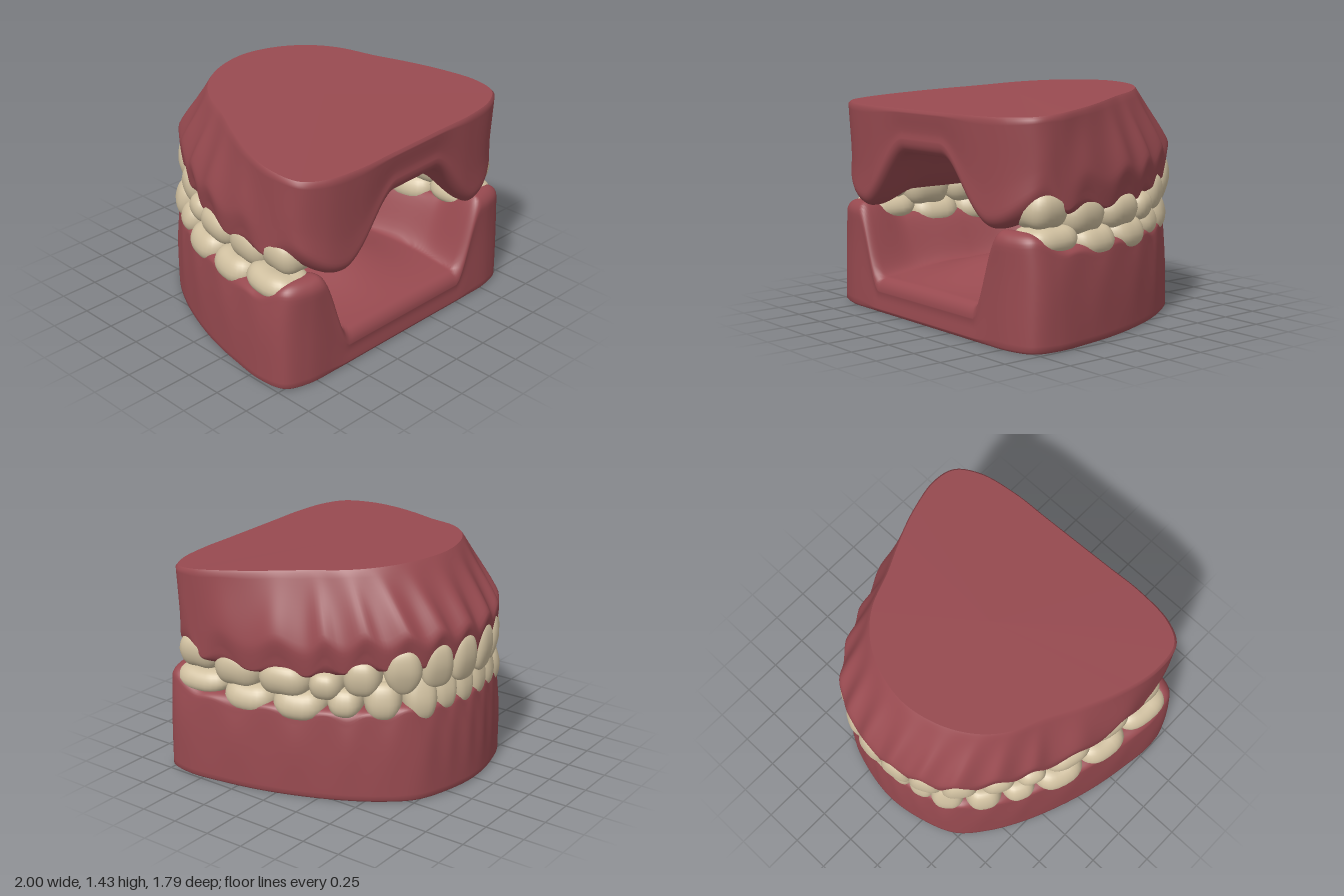
import * as THREE from 'three';

const gumMat = new THREE.MeshStandardMaterial({ color: 0x984a50 });
gumMat.name = 'gum rose';
const toothMat = new THREE.MeshStandardMaterial({ color: 0xd0c0a0 });
toothMat.name = 'tooth ivory';

const { smoothstep, lerp, clamp } = THREE.MathUtils;
const N = 312, CZ = 0.1;

// Closed outline from one half, listed from the incisors (-z) round to the rear (+z)
function outline(half) {
  const other = half.slice(1, -1).reverse().map(([x, z]) => [-x, z]);
  const pts = [...half, ...other].map(([x, z]) => new THREE.Vector3(x, 0, z));
  return new THREE.CatmullRomCurve3(pts, true).getPoints(N).slice(0, N);
}

// U-shaped measure: below 1 inside the arch, above 1 on the tooth ridge
function arch(x, z, hw, len, z0) {
  return Math.hypot(x / hw, Math.min(0, z - z0) / len);
}

// Gum body: flat base, outer wall with root ripples, then a height field for ridge and vault
function makeGum({ base, rim, baseY, height, dir, wallEnd, wallPower, bulge, scallop, teeth }) {
  const A = outline(base), B = outline(rim), pos = [], idx = [];
  // Near 1 in front of the middle of a tooth, low between teeth
  const nearTooth = (x, z) => {
    const a = Math.atan2(Math.abs(x), CZ - z), R = Math.hypot(x, z - CZ);
    let s = 0;
    for (const [tx, tz, w] of teeth) {
      const d = (a - Math.atan2(tx, CZ - tz)) * R / (0.36 * w);
      s += Math.exp(-d * d);
    }
    return Math.min(1, s);
  };
  // The rim rounds off, and recedes in front of each tooth
  const top = (x, z, s) => {
    const e = clamp((s - 0.91) / 0.09, 0, 1), rear = smoothstep(z, 0.6, 0.8);
    const drop = 0.055 + scallop * (nearTooth(x, z) - 0.4) * (1 - rear) + 0.03 * rear;
    return height(x, z) - dir * drop * (1 - Math.sqrt(1 - e * e));
  };
  const rows = [];
  const addRow = fn => rows.push(A.map((a, i) => fn(a, B[i])));
  for (const s of [0, 1, 1]) {
    addRow(a => {
      const x = a.x * s * 0.985, z = CZ + (a.z - CZ) * s * 0.985;
      return [x, baseY(x, z), z];
    });
  }
  const walls = 18;
  for (let j = 0; j <= walls; j++) {
    const f = j / walls, k = Math.pow(Math.min(1, f / wallEnd), wallPower);
    addRow((a, b) => {
      let x = lerp(a.x, b.x, k), z = lerp(a.z, b.z, k);
      const y0 = baseY(a.x, a.z) + dir * 0.015, y = lerp(y0, top(b.x, b.z, 1), f);
      const swell = bulge * (1 - smoothstep(z, 0.2, 0.6)) + 0.011 * (nearTooth(b.x, b.z) - 0.6);
      const g = 1 + swell * Math.sin(Math.PI * Math.pow(f, 1.6));
      x *= g;
      z = CZ + (z - CZ) * g;
      return [x, y, z];
    });
  }
  const rings = 46;
  for (let j = 1; j <= rings; j++) {
    const s = Math.cos(Math.PI / 2 * Math.pow(j / rings, 0.8));
    addRow((a, b) => {
      const x = b.x * s, z = CZ + (b.z - CZ) * s;
      return [x, top(x, z, s), z];
    });
  }
  rows.forEach(r => r.forEach(p => pos.push(...p)));
  for (let j = 0; j < rows.length - 1; j++) {
    if (j === 1) continue; // sharp edge round the base
    for (let i = 0; i < N; i++) {
      const a = j * N + i, b = j * N + (i + 1) % N, c = a + N, d = b + N;
      if (dir > 0) idx.push(a, c, b, b, c, d);
      else idx.push(a, b, c, b, d, c);
    }
  }
  const g = new THREE.BufferGeometry();
  g.setAttribute('position', new THREE.Float32BufferAttribute(pos, 3));
  g.setIndex(idx);
  g.computeVertexNormals();
  return g;
}

// Tooth: a squared-off ball, shaped by kind (0 incisor, 1 canine, 2 premolar, 3 molar)
function makeTooth(w, d, h, kind, dir) {
  const g = new THREE.SphereGeometry(1, 28, 20), p = g.attributes.position;
  const pw = (v, e) => Math.sign(v) * Math.pow(Math.abs(v), e);
  for (let i = 0; i < p.count; i++) {
    const th = Math.atan2(p.getZ(i), p.getX(i));
    const q = pw(p.getY(i) * dir, 0.75), r = Math.pow(Math.hypot(p.getX(i), p.getZ(i)), 0.65);
    const up = Math.max(0, q), down = Math.max(0, -q);
    let x = r * pw(Math.cos(th), 0.75) * (1 - 0.14 * down);
    let z = r * pw(Math.sin(th), 0.75), y = q;
    if (kind < 2) {
      z = z * (1 - 0.6 * up) - 0.3 * up;
      if (kind === 1) x *= 1 - 0.4 * up * up;
    } else {
      x *= 1 - 0.08 * up;
      z *= 1 - 0.18 * up;
      y += up * (0.12 * r * Math.abs(Math.sin(kind === 3 ? 2 * th : th)) - 0.25 * (1 - r));
    }
    p.setXYZ(i, x * w / 2, y * dir * h / 2, z * d / 2);
  }
  g.computeVertexNormals();
  return g;
}

// Both halves of a tooth row; each entry is x, z, width, depth, yLow, yHigh, kind
function addTeeth(group, teeth, dir, label) {
  const names = ['Incisor', 'Canine', 'Premolar', 'Molar'];
  teeth.forEach(([x, z, w, d, y0, y1, kind], i) => {
    const prev = i ? teeth[i - 1] : [-x, z], next = teeth[i + 1] || teeth[i];
    const turn = Math.atan2(-(next[1] - prev[1]), next[0] - prev[0]);
    const geo = makeTooth(w * 1.1, d, y1 - y0, kind, dir);
    for (const side of [1, -1]) {
      const m = new THREE.Mesh(geo, toothMat);
      m.name = label + names[kind] + (side > 0 ? 'Left' : 'Right') + (i + 1);
      m.position.set(side * x, (y0 + y1) / 2, z);
      m.rotation.y = side * turn;
      group.add(m);
    }
  });
}

export function createModel() {
  const model = new THREE.Group();
  model.name = 'dentalModel';

  const lowerTeeth = [
    [0.075, -0.78, 0.145, 0.15, 0.52, 0.79, 0], [0.22, -0.75, 0.15, 0.16, 0.52, 0.78, 0],
    [0.36, -0.68, 0.19, 0.21, 0.48, 0.78, 1], [0.50, -0.52, 0.21, 0.27, 0.50, 0.76, 2],
    [0.60, -0.33, 0.20, 0.29, 0.51, 0.71, 2], [0.70, -0.08, 0.31, 0.33, 0.47, 0.68, 3],
    [0.77, 0.23, 0.32, 0.33, 0.47, 0.67, 3], [0.81, 0.56, 0.35, 0.31, 0.53, 0.70, 3]];
  const upperTeeth = [
    [0.10, -0.815, 0.19, 0.16, 0.70, 1.00, 0], [0.28, -0.755, 0.19, 0.17, 0.70, 0.99, 0],
    [0.44, -0.635, 0.21, 0.20, 0.68, 0.98, 1], [0.55, -0.43, 0.21, 0.25, 0.65, 0.90, 2],
    [0.64, -0.24, 0.19, 0.27, 0.62, 0.81, 2], [0.71, 0.00, 0.31, 0.31, 0.61, 0.84, 3],
    [0.76, 0.31, 0.30, 0.30, 0.61, 0.86, 3], [0.785, 0.59, 0.27, 0.28, 0.67, 0.91, 3]];

  // Lower jaw: upright base with a raised ridge and a sloping tongue floor
  const lower = new THREE.Group();
  lower.name = 'lowerJaw';
  const lowerBase = [[0, -0.87], [0.26, -0.83], [0.47, -0.745], [0.62, -0.58], [0.74, -0.38],
    [0.84, -0.15], [0.92, 0.1], [0.97, 0.35], [0.998, 0.6], [0.96, 0.76], [0.82, 0.82],
    [0.6, 0.83], [0.3, 0.83], [0, 0.83]];
  const lowerGum = new THREE.Mesh(makeGum({
    base: lowerBase,
    rim: lowerBase.map(([x, z]) => [x * 0.975, z > 0.7 ? z : CZ + (z - CZ) * 0.975]),
    baseY: () => 0,
    height: (x, z) => {
      const q = arch(x, z, 0.55 + 0.07 * smoothstep(z, -0.1, 0.6), 0.74, 0.1);
      const floor = 0.22 + 0.15 * (1 - smoothstep(z, 0.25, 0.83)) * (0.2 + 0.8 * Math.exp(-x * x * 8));
      const ridge = 0.575 + 0.035 * smoothstep(-z, 0.4, 0.7) + 0.1 * smoothstep(z, 0.5, 0.75);
      return lerp(floor, ridge, smoothstep(q, 0.78, 1.14));
    },
    dir: 1, wallEnd: 1, wallPower: 3, bulge: 0, scallop: 0.06, teeth: lowerTeeth,
  }), gumMat);
  lowerGum.name = 'lowerGum';
  lower.add(lowerGum);
  addTeeth(lower, lowerTeeth, 1, 'lower');

  // Upper jaw: tilted flat top, flared front wall and an arched palate
  const upper = new THREE.Group();
  upper.name = 'upperJaw';
  upper.position.x = 0.025;
  const upperGeo = makeGum({
    base: [[0, -0.64], [0.25, -0.59], [0.44, -0.48], [0.57, -0.33], [0.67, -0.1], [0.77, 0.1],
      [0.86, 0.32], [0.915, 0.56], [0.885, 0.74], [0.75, 0.83], [0.5, 0.87], [0.25, 0.87], [0, 0.87]],
    rim: [[0, -0.865], [0.24, -0.825], [0.45, -0.72], [0.63, -0.49], [0.76, -0.21], [0.855, 0.05],
      [0.9, 0.3], [0.915, 0.55], [0.88, 0.73], [0.75, 0.82], [0.5, 0.86], [0.25, 0.86], [0, 0.86]],
    baseY: (x, z) => 1.375 - 0.08 * z,
    height: (x, z) => {
      const q = arch(x, z, 0.5, 0.68, 0);
      const rear = smoothstep(z, 0.5, 0.75), out = Math.max(0, Math.abs(x) - 0.6);
      const ridge = 0.75 + 0.07 * smoothstep(-z, 0.1, 0.6) - 0.08 * rear + 2 * rear * out * out;
      return lerp(1.035, ridge, smoothstep(q, 0.35, 1.2));
    },
    dir: -1, wallEnd: 0.75, wallPower: 0.95, bulge: 0.025, scallop: 0.11, teeth: upperTeeth,
  });
  // Slight skew of the rear face
  const p = upperGeo.attributes.position;
  for (let i = 0; i < p.count; i++) {
    p.setZ(i, p.getZ(i) - 0.04 * p.getX(i) * smoothstep(p.getZ(i), 0.4, 0.8));
  }
  upperGeo.computeVertexNormals();
  const upperGum = new THREE.Mesh(upperGeo, gumMat);
  upperGum.name = 'upperGum';
  upper.add(upperGum);
  addTeeth(upper, upperTeeth, -1, 'upper');

  model.add(lower, upper);
  return model;
}
